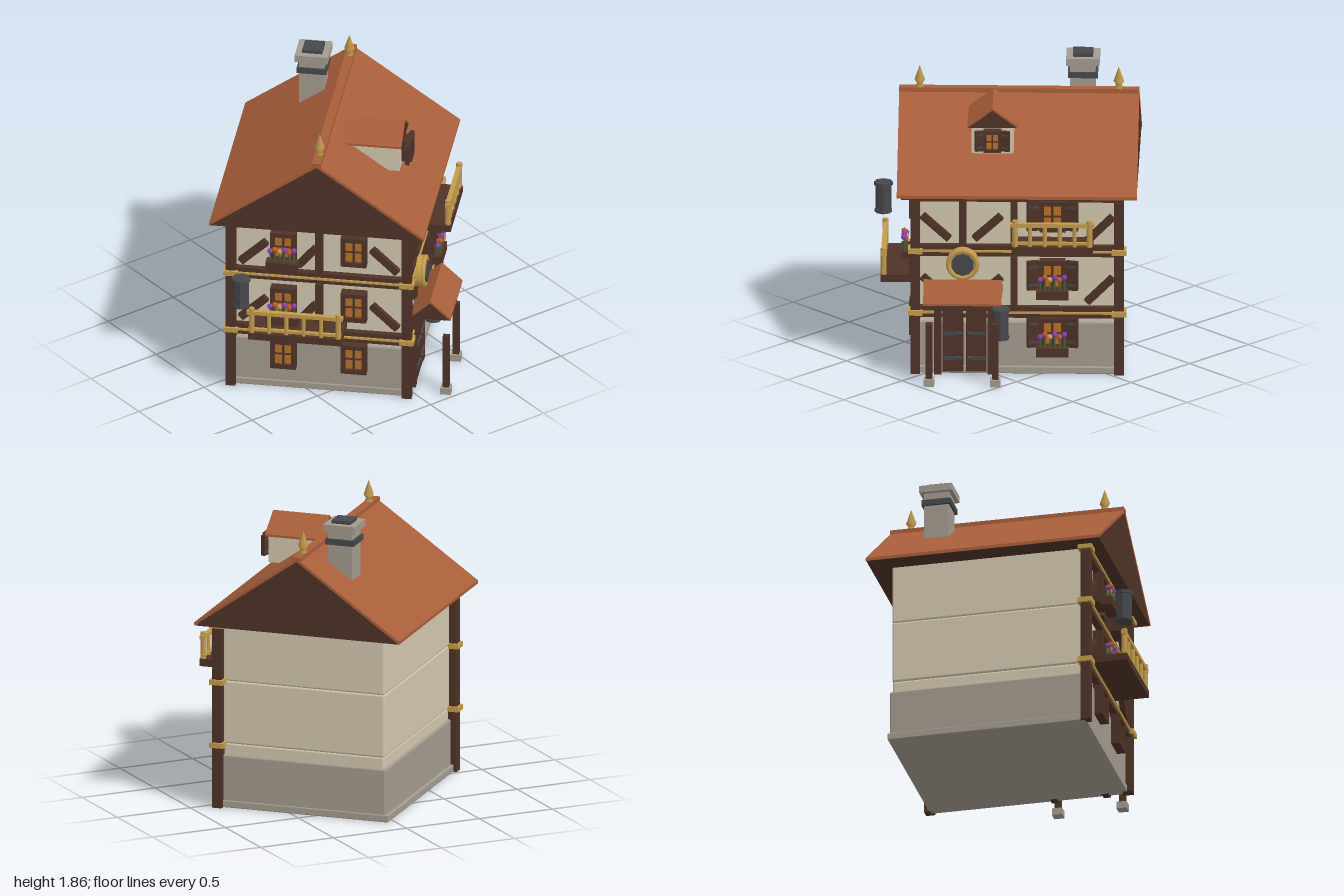
import * as THREE from 'three';
import { RoundedBoxGeometry } from 'three/addons/geometries/RoundedBoxGeometry.js';

const mat = (name, color) => {
  const m = new THREE.MeshStandardMaterial({ color });
  m.name = name;
  return m;
};
const cream = mat('cream plaster', 0xd3c7af), stone = mat('grey stone', 0xa39b8f);
const tile = mat('roof tile', 0xa85e3a), wood = mat('dark wood', 0x4e3327);
const gold = mat('gold trim', 0xc49c4c), iron = mat('dark iron', 0x46484b);
const amber = mat('amber glass', 0xb87028), purple = mat('purple petals', 0x8a3fb0);
const red = mat('red petals', 0xc0562f), green = mat('green stems', 0x44683a);

function add(parent, name, geo, material, x = 0, y = 0, z = 0) {
  const m = new THREE.Mesh(geo, material);
  m.name = name;
  m.position.set(x, y, z);
  parent.add(m);
  return m;
}
const box = (parent, name, material, w, h, d, x, y, z) =>
  add(parent, name, new THREE.BoxGeometry(w, h, d), material, x, y, z);

function group(parent, name, x = 0, y = 0, z = 0, ry = 0) {
  const g = new THREE.Group();
  g.name = name;
  g.position.set(x, y, z);
  g.rotation.y = ry;
  parent.add(g);
  return g;
}

// Slanted timber from (u0,y0) to (u1,y1) on a wall
function brace(wall, u0, y0, u1, y1) {
  const b = box(wall, 'brace', wood, Math.hypot(u1 - u0, y1 - y0), 0.045, 0.04, (u0 + u1) / 2, (y0 + y1) / 2, 0.015);
  b.rotation.z = Math.atan2(y1 - y0, u1 - u0);
}

// Gable roof with its ridge along local z: thin tiles over a solid wooden core
function gableRoof(parent, name, halfWidth, length, eave, ridge, t) {
  const g = group(parent, name);
  const extrude = (pts, len) => new THREE.ExtrudeGeometry(
    new THREE.Shape(pts.map(p => new THREE.Vector2(...p))), { depth: len, bevelEnabled: false }).translate(0, 0, -len / 2);
  const w = halfWidth;
  add(g, name + 'Tiles', extrude([[-w, eave - t], [0, ridge - t], [w, eave - t], [w, eave], [0, ridge], [-w, eave]], length), tile);
  add(g, name + 'Gable', extrude([[-w + 0.005, eave - t], [w - 0.005, eave - t], [0, ridge - t - 0.001]], length - 0.006), wood);
  return g;
}

function flowerBox(wall, u, y) {
  const g = group(wall, 'flowerBox', u, y, 0.09);
  box(g, 'planter', wood, 0.2, 0.055, 0.07, 0, 0, 0);
  const petals = [purple, red, gold, purple, red, purple];
  petals.forEach((p, i) => {
    const x = (i - 2.5) * 0.03, h = 0.07 + (i % 2) * 0.02;
    add(g, 'stem', new THREE.CylinderGeometry(0.006, 0.006, h, 5), green, x, 0.02 + h / 2, 0.012 * (i % 2));
    add(g, 'flower', new THREE.IcosahedronGeometry(0.018, 1), p, x, 0.025 + h, 0.012 * (i % 2) + 0.004);
  });
}

function makeWindow(wall, u, y, { shutters = false, flowers = false, s = 1 } = {}) {
  const g = group(wall, 'window', u, y, 0);
  const w = 0.16 * s, h = 0.2 * s, b = 0.028 * s;
  box(g, 'glass', amber, w - b, h - b, 0.04, 0, 0, 0.025);
  for (const k of [-1, 1]) {
    box(g, 'frameSide', wood, b, h, 0.07, k * (w - b) / 2, 0, 0.03);
    box(g, 'frameRail', wood, w, b, 0.07, 0, k * (h - b) / 2, 0.03);
    if (shutters) {
      const sh = group(g, 'shutter', k * (w / 2 + 0.04 * s), 0, 0.04, -k * 0.25);
      box(sh, 'shutterPanel', wood, 0.075 * s, h * 0.95, 0.025, 0, 0, 0);
      for (const j of [-1, 1]) box(sh, 'hinge', iron, 0.06 * s, 0.015 * s, 0.034, 0, j * h * 0.3, 0);
    }
  }
  box(g, 'mullion', wood, 0.014 * s, h, 0.05, 0, 0, 0.03);
  box(g, 'crossBar', wood, w, 0.01 * s, 0.05, 0, 0, 0.027);
  if (flowers) flowerBox(wall, u, y - 0.105);
}

function balcony(wall, u, y, width, depth) {
  const g = group(wall, 'balcony', u, y, 0);
  box(g, 'deck', wood, width, 0.045, depth, 0, 0.022, depth / 2);
  const n = 6, z = depth - 0.02;
  box(g, 'handrail', gold, width + 0.02, 0.025, 0.03, 0, 0.185, z);
  box(g, 'lowerRail', gold, width, 0.018, 0.02, 0, 0.065, z);
  for (let i = 0; i < n; i++) {
    const x = (i / (n - 1) - 0.5) * (width - 0.04), end = i === 0 || i === n - 1;
    add(g, 'baluster', new THREE.CylinderGeometry(end ? 0.018 : 0.013, end ? 0.018 : 0.013, end ? 0.18 : 0.16, 8), gold, x, end ? 0.125 : 0.11, z);
  }
}

function lantern(parent, x, y, z) {
  const g = group(parent, 'lantern', x, y, z);
  const cyl = (name, r, h, cy) => add(g, name, new THREE.CylinderGeometry(r, r, h, 8).toNonIndexed(), iron, 0, cy, 0).geometry.computeVertexNormals();
  cyl('lanternBody', 0.049, 0.19, 0);
  cyl('lanternCap', 0.058, 0.022, 0.092);
  cyl('lanternFoot', 0.054, 0.018, -0.085);
}

export function createModel() {
  const model = new THREE.Group();
  model.name = 'timberHouse';
  const house = group(model, 'house', 0, 0, 0, Math.PI / 4);
  const front = group(house, 'frontWall', 0, 0, 0.53);
  const side = group(house, 'gableWall', -0.61, 0, 0, -Math.PI / 2);

  // Walls: stone foot below three plaster storeys
  const block = (name, m, w, y0, y1, d, r) =>
    add(house, name, new RoundedBoxGeometry(w, y1 - y0, d, 2, r), m, 0, (y0 + y1) / 2, 0);
  block('plinth', stone, 1.26, 0, 0.045, 1.12, 0.006);
  block('stoneBase', stone, 1.242, 0.01, 0.335, 1.08, 0.012);
  block('groundStorey', cream, 1.214, 0.1, 0.41, 1.05, 0.015);
  block('middleStorey', cream, 1.22, 0.405, 0.81, 1.06, 0.015);
  block('upperStorey', cream, 1.22, 0.805, 1.2, 1.06, 0.015);

  // Corner posts with gold caps on the three timbered corners
  for (const [x, z] of [[-0.63, -0.55], [-0.63, 0.55], [0.63, 0.55]]) {
    box(house, 'cornerPost', wood, 0.06, 1.18, 0.06, x, 0.59, z);
    for (const y of [0.403, 0.807, 1.172]) box(house, 'cornerCap', gold, 0.09, 0.032, 0.09, x, y, z);
  }
  // Beams with gold strips
  for (const [wall, len] of [[front, 1.26], [side, 1.1]]) {
    for (const y of [0.405, 0.807, 1.155]) {
      box(wall, 'beam', wood, len, y > 1 ? 0.05 : 0.07, 0.05, 0, y, 0.015);
      box(wall, 'goldStrip', gold, len, 0.014, 0.07, 0, y > 1 ? 1.172 : y, 0.015);
    }
  }
  // Upright timbers and braces of the two upper storeys
  for (const y of [0.44, 0.84]) {
    for (const u of [-0.336, -0.02]) box(front, 'stud', wood, 0.045, 0.32, 0.04, u, y + 0.16, 0.02);
    brace(front, -0.585, y + 0.19, -0.42, y + 0.04);
    brace(front, -0.265, y + 0.04, -0.1, y + 0.19);
    brace(front, 0.43, y + 0.03, 0.59, y + 0.19);
    box(side, 'stud', wood, 0.045, 0.32, 0.04, 0, y + 0.16, 0.02);
    for (const k of [-1, 1]) brace(side, k * 0.33, y + 0.19, k * 0.49, y + 0.04);
    brace(side, -0.13, y + 0.04, -0.02, y + 0.17);
  }

  // Windows
  for (const y of [0.275, 0.65, 1.04]) makeWindow(front, 0.218, y, { shutters: true, flowers: y < 1 });
  for (const y of [0.255, 0.625, 1.02]) {
    makeWindow(side, -0.22, y, { flowers: y > 0.4 });
    makeWindow(side, 0.22, y);
  }
  balcony(front, 0.22, 0.845, 0.5, 0.2);
  balcony(side, -0.12, 0.455, 0.58, 0.245);
  lantern(house, -0.85, 0.785, -0.455);
  lantern(house, -0.1, 0.35, 0.633);
  box(house, 'lanternArm', iron, 0.02, 0.02, 0.09, -0.1, 0.43, 0.58);

  // Double door with stone lintel and iron straps
  const door = group(front, 'door', -0.325, 0, 0);
  box(door, 'lintel', stone, 0.38, 0.03, 0.06, 0, 0.52, 0.02);
  for (const k of [-1, 1]) {
    box(door, 'doorPost', wood, 0.045, 0.505, 0.06, k * 0.165, 0.2525, 0.025);
    box(door, 'doorLeaf', wood, 0.128, 0.48, 0.05, k * 0.072, 0.26, 0.03);
    for (const y of [0.11, 0.27]) {
      box(door, 'strap', iron, 0.1, 0.022, 0.012, k * 0.08, y, 0.058);
      add(door, 'stud', new THREE.SphereGeometry(0.014, 8, 6), iron, k * 0.03, y, 0.06);
    }
  }
  // Porch
  const porch = group(house, 'porch', -0.333, 0, 0.685, Math.PI / 2);
  gableRoof(porch, 'porchRoof', 0.127, 0.485, 0.545, 0.66, 0.014);
  for (const x of [-0.54, -0.13]) {
    box(house, 'porchPost', wood, 0.04, 0.37, 0.04, x, 0.22, 0.78);
    box(house, 'porchFoot', stone, 0.065, 0.045, 0.065, x, 0.0225, 0.78);
  }
  // Round plaque over the porch
  const plaque = group(front, 'plaque', -0.336, 0.735, 0);
  add(plaque, 'plaqueRim', new THREE.CylinderGeometry(0.1, 0.1, 0.05, 20).rotateX(Math.PI / 2), gold, 0, 0, 0.06);
  add(plaque, 'plaqueRing', new THREE.TorusGeometry(0.088, 0.016, 8, 20), gold, 0, 0, 0.085);
  add(plaque, 'plaqueFace', new THREE.CylinderGeometry(0.07, 0.07, 0.06, 10).rotateX(Math.PI / 2), iron, 0, 0, 0.075);

  // Main roof, ridge cap and finials
  const roof = gableRoof(house, 'mainRoof', 0.67, 1.484, 1.202, 1.672, 0.02);
  roof.rotation.y = Math.PI / 2;
  box(house, 'ridgeCap', tile, 1.484, 0.03, 0.055, 0, 1.665, 0);
  for (const x of [-0.615, 0.615]) {
    add(house, 'finial', new THREE.LatheGeometry([[0.024, 1.66], [0.024, 1.69], [0.017, 1.7], [0.033, 1.725], [0, 1.82]]
      .map(p => new THREE.Vector2(...p)), 8), gold, x, 0, 0);
  }

  // Dormer
  const dormer = group(house, 'dormer', -0.155, 0, 0);
  box(dormer, 'dormerBody', cream, 0.26, 0.19, 0.34, 0, 1.5, 0.28);
  gableRoof(dormer, 'dormerRoof', 0.155, 0.37, 1.59, 1.705, 0.014).position.z = 0.28;
  makeWindow(group(dormer, 'dormerFront', 0, 0, 0.45), 0, 1.5, { shutters: true, s: 0.68 });

  // Chimney
  const chimney = group(house, 'chimney', 0.39, 0, -0.19);
  const slab = (name, m, w, y0, y1) => box(chimney, name, m, w, y1 - y0, w, 0, (y0 + y1) / 2, 0);
  slab('shaft', stone, 0.157, 1.38, 1.8);
  slab('ironBand', iron, 0.185, 1.705, 1.742);
  slab('cap', stone, 0.207, 1.79, 1.835);
  slab('flue', iron, 0.125, 1.83, 1.856);
  return model;
}
